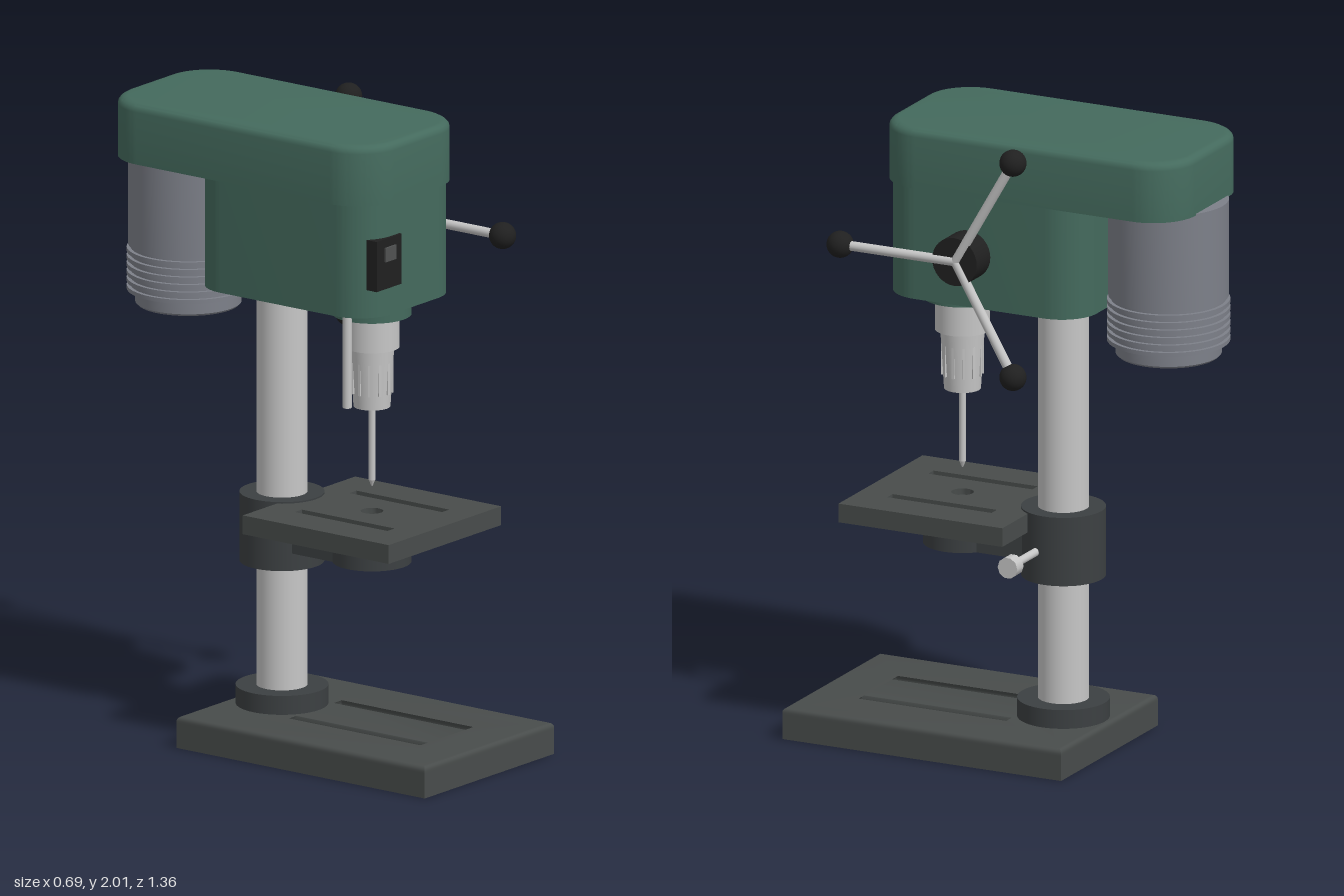
import * as THREE from 'three';
import { toCreasedNormals } from 'three/addons/utils/BufferGeometryUtils.js';

export function createModel() {
  const model = new THREE.Group();
  model.name = 'drillPress';
  // The column, spindle and base share one centre line
  const press = new THREE.Group();
  press.name = 'press';
  press.position.x = -0.023;
  model.add(press);

  const material = (name, color) => {
    const m = new THREE.MeshStandardMaterial({ color });
    m.name = name;
    return m;
  };
  const green = material('greenPaint', 0x446a5d);
  const iron = material('castIron', 0x484c4b);
  const darkIron = material('darkIron', 0x3c4042);
  const steel = material('steel', 0xc6c6c6);
  const motorGrey = material('motorGrey', 0x7d8089);
  const black = material('blackPlastic', 0x202020);
  const rockerGrey = material('rockerGrey', 0x505252);

  const columnZ = -0.124, spindleZ = 0.225, motorZ = -0.487;

  function add(name, geometry, mat, x = 0, y = 0, z = 0, parent = press) {
    const mesh = new THREE.Mesh(geometry, mat);
    mesh.name = name;
    mesh.position.set(x, y, z);
    parent.add(mesh);
    return mesh;
  }
  const box = (name, mat, w, h, d, x, y, z) =>
    add(name, new THREE.BoxGeometry(w, h, d), mat, x, y, z);
  // Upright cylinder from y0 to y1
  const post = (name, mat, r, y0, y1, x, z, rBottom = r, sides = 48) =>
    add(name, new THREE.CylinderGeometry(r, rBottom, y1 - y0, sides), mat, x, (y0 + y1) / 2, z);
  // Cylinder lying along x
  function bar(name, mat, r, x0, x1, y, z, sides = 32) {
    const mesh = add(name, new THREE.CylinderGeometry(r, r, x1 - x0, sides), mat, (x0 + x1) / 2, y, z);
    mesh.rotation.z = -Math.PI / 2;
    return mesh;
  }

  function roundedRect(w, d, r) {
    const s = new THREE.Shape(), x = w / 2, y = d / 2;
    if (r === 0) {
      s.moveTo(-x, -y).lineTo(x, -y).lineTo(x, y).lineTo(-x, y).closePath();
      return s;
    }
    s.absarc(x - r, -y + r, r, -Math.PI / 2, 0);
    s.absarc(x - r, y - r, r, 0, Math.PI / 2);
    s.absarc(-x + r, y - r, r, Math.PI / 2, Math.PI);
    s.absarc(-x + r, -y + r, r, Math.PI, Math.PI * 1.5);
    s.closePath();
    return s;
  }
  // Flat plate raised through levels of [height, inset]
  function plate(name, mat, w, d, r, levels, z, holes = []) {
    const shape = roundedRect(w, d, r), steps = levels.length - 1;
    shape.holes.push(...holes);
    const geo = new THREE.ExtrudeGeometry(shape, { depth: 1, steps, bevelEnabled: false, curveSegments: 14 });
    const p = geo.attributes.position;
    for (let i = 0; i < p.count; i++) {
      const [height, inset] = levels[Math.round(p.getZ(i) * steps)];
      p.setXYZ(i, p.getX(i) * (1 - 2 * inset / w), p.getY(i) * (1 - 2 * inset / d), height);
    }
    geo.rotateX(-Math.PI / 2);
    return add(name, toCreasedNormals(geo, 0.6), mat, 0, 0, z);
  }
  // Slot opening, with z measured from the plate's centre
  function slot(x, z0, z1, half) {
    const h = new THREE.Path();
    h.moveTo(x - half, -z0).lineTo(x + half, -z0).lineTo(x + half, -z1).lineTo(x - half, -z1).closePath();
    return h;
  }
  const roundTop = (y0, y1, r) => {
    const levels = [[y0, 0]];
    for (let i = 0; i <= 4; i++) {
      const a = (i / 4) * Math.PI / 2;
      levels.push([y1 - r + r * Math.sin(a), r * (1 - Math.cos(a))]);
    }
    return levels;
  };

  // Base with two slots
  const baseZ = 0.199;
  box('baseFloor', iron, 0.653, 0.08, 0.963, 0, 0.04, baseZ);
  plate('baseTop', iron, 0.653, 0.963, 0, roundTop(0.08, 0.1, 0.014), baseZ,
    [-0.118, 0.118].map(x => slot(x, 0 - baseZ, 0.525 - baseZ, 0.021)));

  // Column and its foot
  post('columnFoot', darkIron, 0.143, 0.1, 0.16, 0, columnZ);
  post('column', steel, 0.079, 0.1, 1.5, 0, columnZ);

  // Work table with slots and centre hole
  const tableZ = 0.225;
  const centreHole = new THREE.Path();
  centreHole.absarc(0, 0, 0.035, 0, Math.PI * 2, true);
  box('tableFloor', iron, 0.568, 0.04, 0.566, 0, 0.73, tableZ);
  plate('tableTop', iron, 0.568, 0.566, 0, [[0.75, 0], [0.77, 0]], tableZ,
    [centreHole, ...[-0.138, 0.138].map(x => slot(x, -0.18, 0.18, 0.018))]);

  // Table bracket and clamp screw
  post('tableCollar', darkIron, 0.131, 0.555, 0.775, 0, columnZ);
  post('tableBoss', darkIron, 0.122, 0.61, 0.711, 0, spindleZ);
  box('tableArm', darkIron, 0.164, 0.1, 0.26, 0, 0.66, 0.07);
  bar('clampScrew', steel, 0.013, 0.1, 0.28, 0.655, -0.092, 16);
  bar('clampKnob', steel, 0.034, 0.273, 0.316, 0.655, -0.092, 10);

  // Head housing and belt cover
  plate('headHousing', green, 0.48, 0.689, 0.12, [[1.45, 0], [1.815, 0]], 0.0445);
  plate('beltCover', green, 0.513, 1.04, 0.145, roundTop(1.81, 2, 0.024), -0.117);

  // Motor with cooling fins, turned about its axis
  const profile = [[0, 1.315], [0.157, 1.315], [0.164, 1.322], [0.164, 1.36]];
  for (let i = 0; i < 6; i++) {
    const y = 1.362 + i * 0.024;
    profile.push([0.178, y], [0.19, y], [0.19, y + 0.013], [0.178, y + 0.013]);
  }
  profile.push([0.178, 1.506], [0.186, 1.506], [0.186, 1.815], [0, 1.815]);
  const motor = new THREE.LatheGeometry(profile.map(([r, y]) => new THREE.Vector2(r, y)), 56);
  add('motor', toCreasedNormals(motor, 0.5), motorGrey, 0, 0, motorZ);

  // Spindle, chuck and drill bit
  post('spindleCollar', green, 0.122, 1.4, 1.455, 0, spindleZ);
  post('quill', steel, 0.085, 1.295, 1.4, 0, spindleZ);
  post('chuck', steel, 0.069, 1.105, 1.3, 0, spindleZ, 0.057);
  for (let i = 0; i < 12; i++) {
    const a = (i / 12) * Math.PI * 2;
    const rib = box('chuckRib', steel, 0.008, 0.1, 0.012,
      Math.sin(a) * 0.06, 1.2, spindleZ + Math.cos(a) * 0.06);
    rib.rotation.y = a;
  }
  post('drillBit', steel, 0.0105, 0.87, 1.11, 0, spindleZ, 0.0105, 16);
  post('drillTip', steel, 0.0105, 0.85, 0.87, 0, spindleZ, 0.002, 16);
  post('depthRod', steel, 0.014, 1.14, 1.46, -0.164, 0.255, 0.014, 20);

  // Power switch
  box('switchPlate', black, 0.126, 0.16, 0.068, -0.138, 1.62, 0.364);
  box('switchRocker', rockerGrey, 0.053, 0.045, 0.012, -0.1355, 1.65, 0.398);

  // Feed handle: hub with three spokes and ball knobs
  const feed = new THREE.Group();
  feed.name = 'feedHandle';
  feed.position.set(0.326, 1.62, 0.083);
  press.add(feed);
  bar('feedHub', black, 0.077, 0.2, 0.332, 1.62, 0.083);
  for (let i = 0; i < 3; i++) {
    const spoke = new THREE.Group();
    spoke.name = 'feedSpoke';
    spoke.rotation.x = Math.PI / 2 + i * Math.PI * 2 / 3;
    feed.add(spoke);
    add('spokeRod', new THREE.CylinderGeometry(0.015, 0.015, 0.4, 20), steel, 0, 0.2, 0, spoke);
    add('spokeKnob', new THREE.SphereGeometry(0.042, 28, 18), black, 0, 0.398, 0, spoke);
  }
  return model;
}
